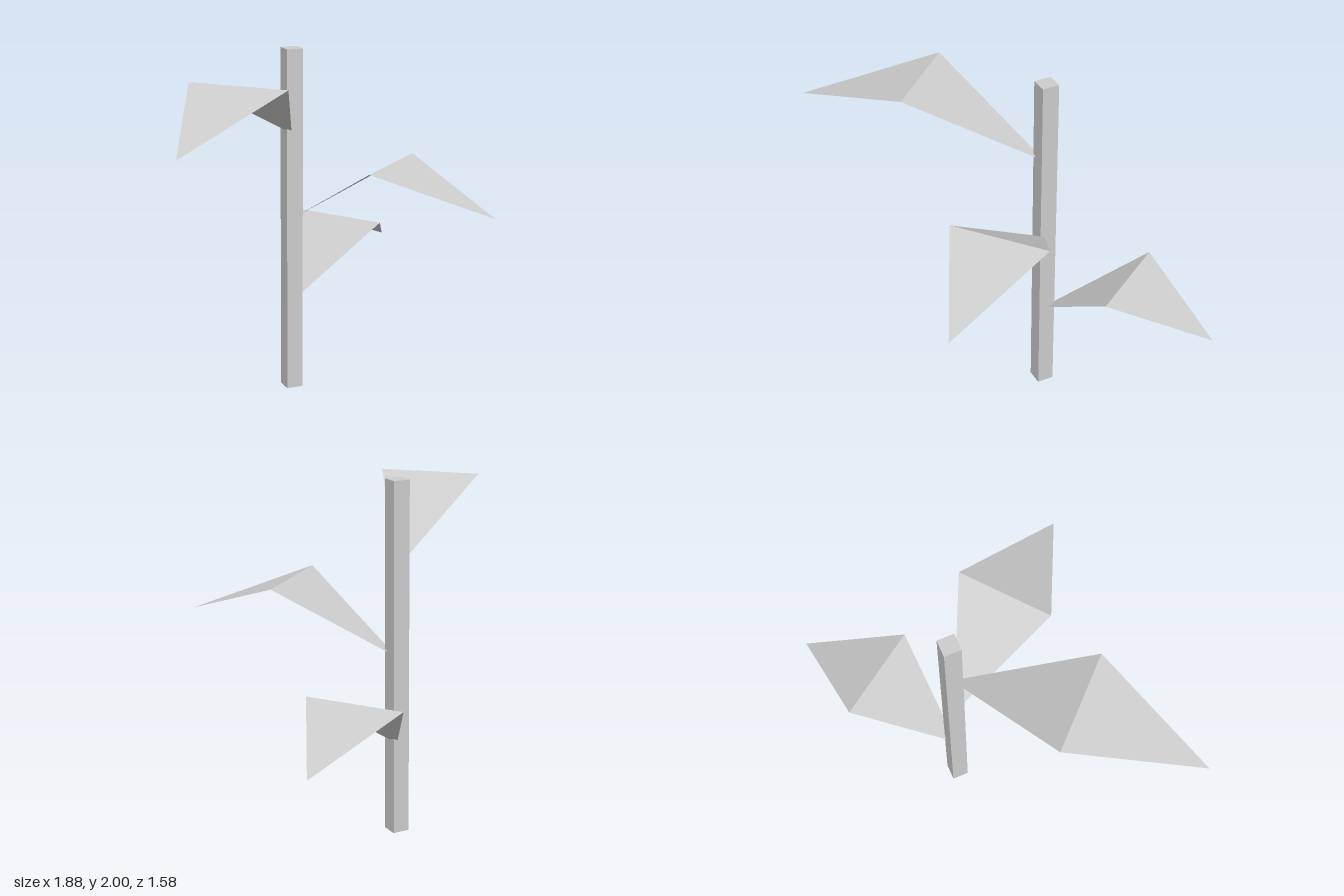
import * as THREE from 'three';

const STEM_X = 0.075, STEM_Z = -0.203;

// Folded diamond leaf along +x: rises from the stem to a crease, then droops to the tip
function createLeaf(material, name, baseY, length, angle) {
  const half = 0.283, crease = length / 2;
  const base = [0, 0, 0], tip = [length, 0.16, 0];
  const a = [crease, 0.395, half], b = [crease, 0.395, -half];
  const geometry = new THREE.BufferGeometry();
  geometry.setAttribute('position', new THREE.Float32BufferAttribute(
    [base, a, b, a, tip, b].flat(), 3));
  geometry.computeVertexNormals();
  const leaf = new THREE.Mesh(geometry, material);
  leaf.name = name;
  leaf.position.set(STEM_X, baseY, STEM_Z);
  leaf.rotation.y = -THREE.MathUtils.degToRad(angle);
  return leaf;
}

export function createModel() {
  const model = new THREE.Group();
  model.name = 'plant';
  const grey = new THREE.MeshStandardMaterial({
    name: 'light grey', color: 0xcccccc, side: THREE.DoubleSide, flatShading: true });

  // Square stem
  const stem = new THREE.Mesh(new THREE.BoxGeometry(0.096, 2, 0.096), grey);
  stem.name = 'stem';
  stem.position.set(STEM_X, 1, STEM_Z);
  model.add(stem);

  // Leaves: name, base height, horizontal length, heading from +x towards +z
  [
    ['upperLeaf', 1.515, 1.42, 135.8],
    ['middleLeaf', 1.015, 1.233, 50.8],
    ['lowerLeaf', 0.515, 1.045, -34.2],
  ].forEach((spec) => model.add(createLeaf(grey, ...spec)));
  return model;
}
